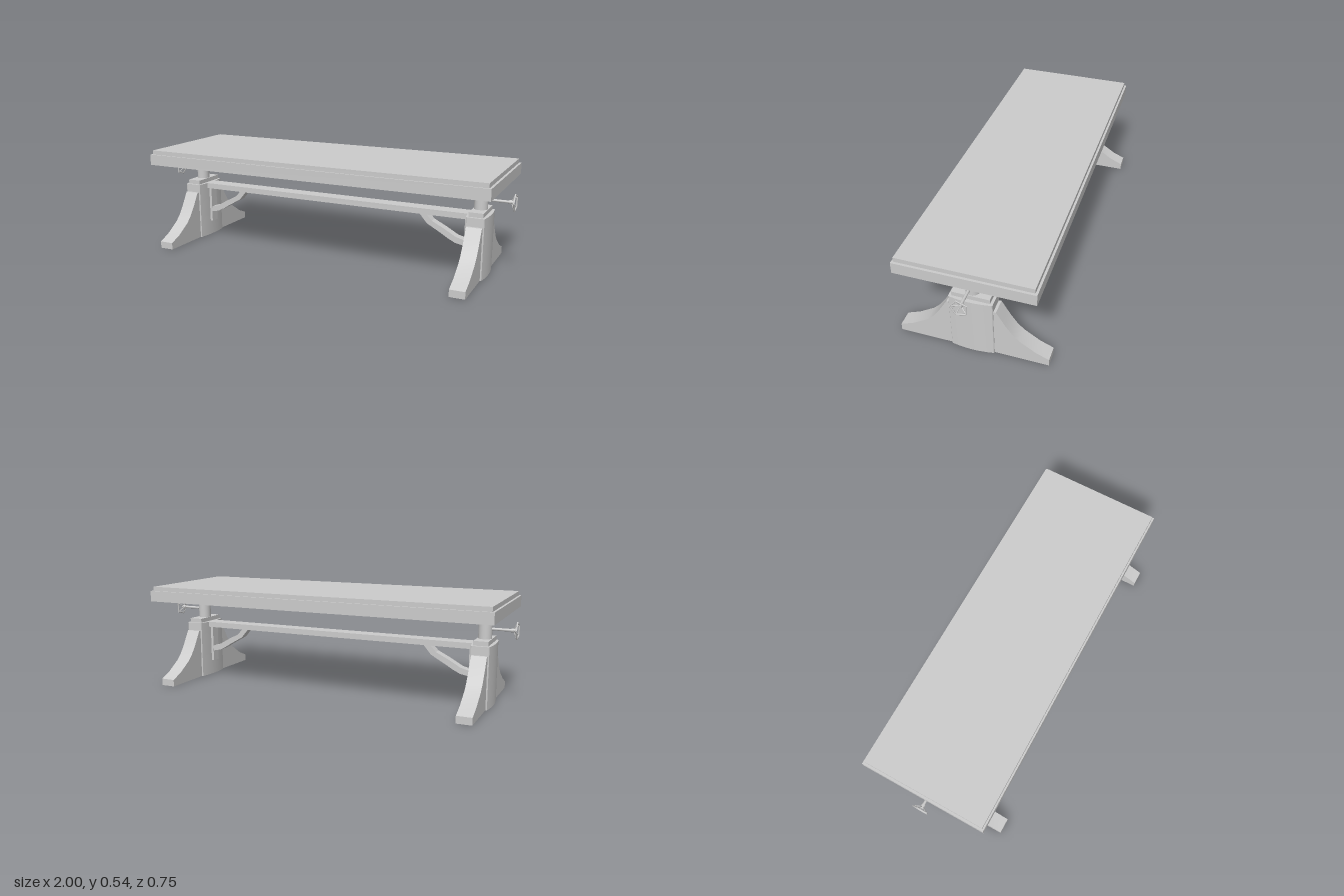
import * as THREE from 'three';
import { toCreasedNormals } from 'three/addons/utils/BufferGeometryUtils.js';

const material = new THREE.MeshStandardMaterial({ color: 0xcccccc, side: THREE.DoubleSide });

function add(parent, name, geometry, x = 0, y = 0, z = 0) {
  const mesh = new THREE.Mesh(geometry, material);
  mesh.name = name;
  mesh.position.set(x, y, z);
  parent.add(mesh);
  return mesh;
}

const box = (w, h, d) => new THREE.BoxGeometry(w, h, d);

// Extrude an outline symmetrically about its own plane
function slab(points, depth) {
  const shape = new THREE.Shape(points.map(([x, y]) => new THREE.Vector2(x, y)));
  return new THREE.ExtrudeGeometry(shape, { depth, bevelEnabled: false }).translate(0, 0, -depth / 2);
}

// Remove the faces lying on the floor, leaving a hollow shell
function openBottom(geometry) {
  const src = geometry.index ? geometry.toNonIndexed() : geometry;
  const p = src.attributes.position.array;
  const kept = [];
  for (let i = 0; i < p.length; i += 9) {
    if (Math.max(p[i + 1], p[i + 4], p[i + 7]) > 1e-4) kept.push(...p.slice(i, i + 9));
  }
  const result = new THREE.BufferGeometry();
  result.setAttribute('position', new THREE.Float32BufferAttribute(kept, 3));
  result.computeVertexNormals();
  return toCreasedNormals(result, 0.4);
}

// Thin round bar between two points
function bar(parent, name, a, b, radius, sides = 8) {
  const dir = b.clone().sub(a);
  const mesh = add(parent, name, new THREE.CylinderGeometry(radius, radius, dir.length(), sides));
  mesh.position.copy(a).addScaledVector(dir, 0.5);
  mesh.quaternion.setFromUnitVectors(new THREE.Vector3(0, 1, 0), dir.normalize());
  return mesh;
}

// Post with gently bowed faces
function postGeometry() {
  const s = new THREE.Shape();
  s.moveTo(0.046, -0.104);
  s.quadraticCurveTo(0.066, 0, 0.046, 0.104);
  s.lineTo(0.042, 0.107);
  s.lineTo(-0.042, 0.107);
  s.lineTo(-0.046, 0.104);
  s.quadraticCurveTo(-0.066, 0, -0.046, -0.104);
  s.lineTo(-0.042, -0.107);
  s.lineTo(0.042, -0.107);
  const g = new THREE.ExtrudeGeometry(s, { depth: 0.315, bevelEnabled: false, curveSegments: 12 });
  return openBottom(g.rotateX(-Math.PI / 2));
}

// Spoked wheel, dished towards the table, with its axle along x
function createHandwheel(tipX) {
  const wheel = new THREE.Group();
  wheel.name = 'handwheel';
  const y = 0.387, radius = 0.043, spokes = 5;
  const rimX = tipX - 0.004;
  const rimPoint = (i) => {
    const a = 1.83 + (i * 2 * Math.PI) / spokes;
    return new THREE.Vector3(rimX, y + radius * Math.sin(a), -radius * Math.cos(a));
  };
  const hub = new THREE.Vector3(tipX - 0.024, y, 0);
  for (let i = 0; i < spokes; i++) {
    bar(wheel, 'wheelRim', rimPoint(i), rimPoint(i + 1), 0.004, 6);
    bar(wheel, 'wheelSpoke', hub, rimPoint(i), 0.0027, 6);
  }
  bar(wheel, 'wheelHub', new THREE.Vector3(tipX - 0.034, y, 0), new THREE.Vector3(tipX - 0.012, y, 0), 0.01, 12);
  bar(wheel, 'wheelAxle', new THREE.Vector3(0, y, 0), hub, 0.007, 12);
  return wheel;
}

// One pedestal, outward side facing +x
function createPedestal(wheelTip) {
  const leg = new THREE.Group();
  leg.name = 'pedestal';
  add(leg, 'post', postGeometry());

  // Sweeping feet, front and back
  const profile = [[0.1, 0], [0.373, 0], [0.373, 0.037], [0.307, 0.065], [0.227, 0.117],
    [0.195, 0.15], [0.163, 0.196], [0.14, 0.236], [0.12, 0.27], [0.1, 0.27]];
  for (const turn of [-1, 1]) {
    const geometry = slab(profile, 0.078).rotateY((turn * Math.PI) / 2);
    add(leg, turn < 0 ? 'frontFoot' : 'backFoot', openBottom(geometry));
  }

  // Cap and height-adjusting screw
  add(leg, 'postCap', box(0.074, 0.024, 0.186), 0, 0.326, 0);
  add(leg, 'screwHousing', new THREE.CylinderGeometry(0.034, 0.034, 0.074, 24), 0, 0.374, 0);
  add(leg, 'liftingScrew', new THREE.CylinderGeometry(0.008, 0.008, 0.06, 16), 0, 0.435, 0);
  leg.add(createHandwheel(wheelTip));

  // Curved brace and its mounting plate on the inner face
  add(leg, 'bracePlate', box(0.02, 0.205, 0.05), -0.06, 0.185, 0);
  const brace = [[-0.064, 0.14], [-0.115, 0.15], [-0.155, 0.17], [-0.193, 0.193], [-0.268, 0.235],
    [-0.312, 0.287], [-0.272, 0.287], [-0.242, 0.251], [-0.178, 0.219], [-0.113, 0.182], [-0.064, 0.169]]
    // the two edges join the stretcher at opposite ends of the tip
    .map(([x, y], i) => [i === 6 ? -0.275 : x, y]);
  add(leg, 'brace', braceGeometry(brace));
  return leg;
}

// Sharp ends, softly faceted curve
function braceGeometry(points) {
  return toCreasedNormals(slab(points, 0.048), 0.3);
}

export function createModel() {
  const model = new THREE.Group();
  model.name = 'adjustableTable';

  // Two-layer top
  add(model, 'tableFrame', box(1.9, 0.058, 0.668), 0, 0.491, -0.003);
  add(model, 'tableTop', box(1.876, 0.023, 0.648), 0, 0.5315, -0.002);

  // Stretcher between the pedestals
  add(model, 'stretcher', box(1.58, 0.03, 0.08), -0.005, 0.3, 0);

  const right = createPedestal(0.161);
  right.position.x = -0.839;
  right.rotation.y = Math.PI;
  const left = createPedestal(0.17);
  left.position.x = 0.829;
  model.add(right, left);
  return model;
}
